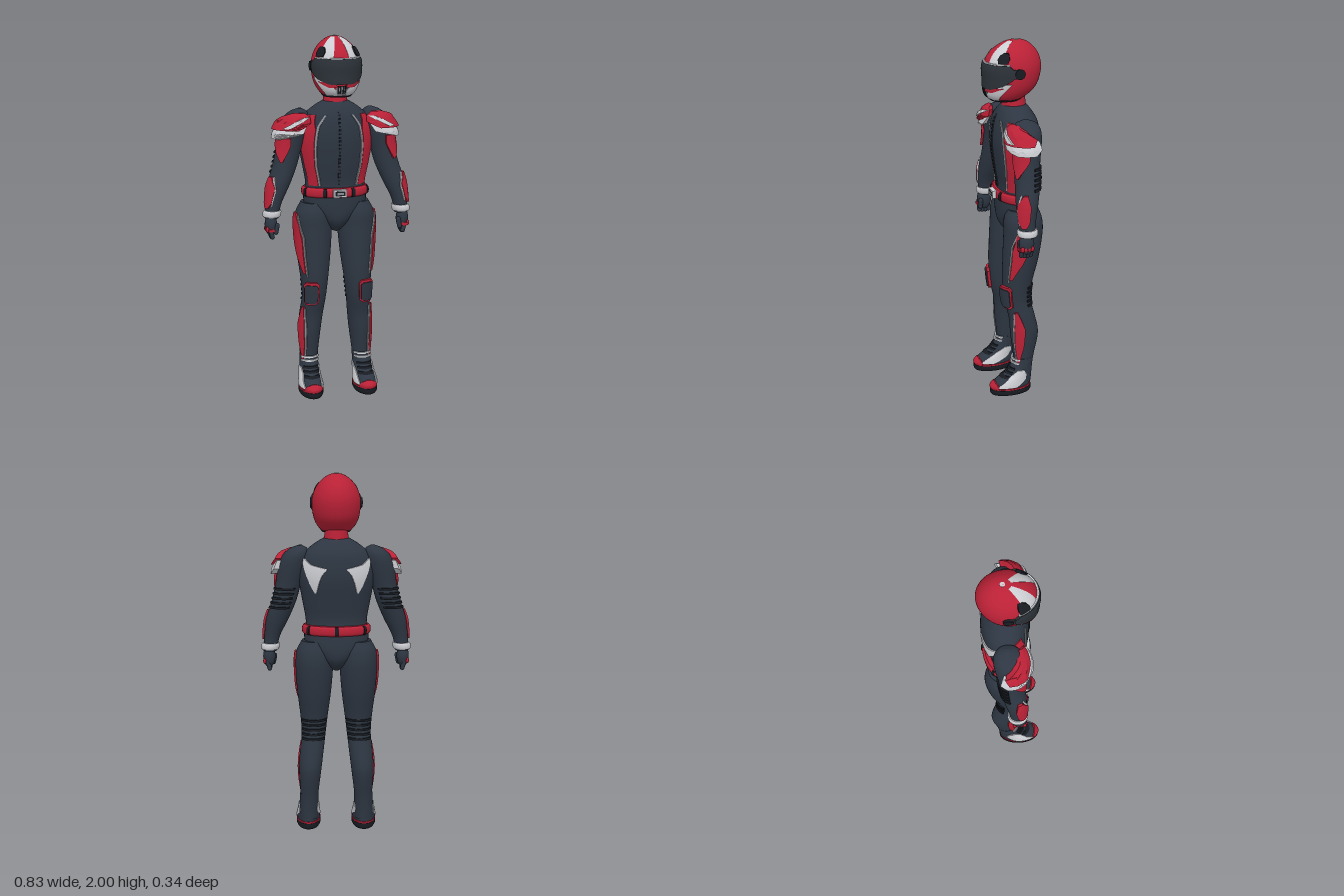
import * as THREE from 'three';
import { toCreasedNormals } from 'three/addons/utils/BufferGeometryUtils.js';

const mat = (name, color) => Object.assign(new THREE.MeshStandardMaterial({ color }), { name });
const SUIT = mat('suit charcoal', 0x2d3642), BLACK = mat('rubber black', 0x181c22), RED = mat('racing red', 0xba2136);
const WHITE = mat('pale grey', 0xcdced3), GREY = mat('seam grey', 0x8b8e93), VISOR = mat('visor', 0x2b3238);

// Cross-sections are [y, cx, cz, rx, rz], from bottom to top; smooth sampling between them
function section(rings, y) {
  const n = rings.length;
  let i = 0;
  while (i < n - 2 && y > rings[i + 1][0]) i++;
  const a = rings[i], b = rings[i + 1], h = b[0] - a[0], t = THREE.MathUtils.clamp((y - a[0]) / h, 0, 1);
  const slope = (j, k) => {
    const p = rings[Math.max(j - 1, 0)], q = rings[Math.min(j + 1, n - 1)];
    return (q[k] - p[k]) / (q[0] - p[0]);
  };
  return [1, 2, 3, 4].map(k => (2 * t ** 3 - 3 * t * t + 1) * a[k] + (t ** 3 - 2 * t * t + t) * h * slope(i, k)
    + (3 * t * t - 2 * t ** 3) * b[k] + (t ** 3 - t * t) * h * slope(i + 1, k));
}
// Angle 0 faces the front, 90 faces +x
function onSurface(rings, y, deg, off = 0) {
  const [cx, cz, rx, rz] = section(rings, y), a = deg * Math.PI / 180;
  return [cx + (rx + off) * Math.sin(a), y, cz + (rz + off) * Math.cos(a)];
}
function geometry(pos, idx) {
  const g = new THREE.BufferGeometry();
  g.setAttribute('position', new THREE.Float32BufferAttribute(pos, 3));
  g.setIndex(idx);
  return g;
}
function loft(rings, steps = 5, seg = 40) {
  const ys = [], pos = [], idx = [];
  rings.forEach((r, i) => {
    if (!i) return;
    for (let k = 0; k < steps; k++) ys.push(THREE.MathUtils.lerp(rings[i - 1][0], r[0], k / steps));
  });
  ys.push(rings.at(-1)[0]);
  for (const y of ys) for (let j = 0; j < seg; j++) pos.push(...onSurface(rings, y, j * 360 / seg));
  for (let i = 0; i < ys.length - 1; i++) for (let j = 0; j < seg; j++) {
    const a = i * seg + j, b = i * seg + (j + 1) % seg;
    idx.push(a, b, b + seg, a, b + seg, a + seg);
  }
  // end caps
  [0, ys.length - 1].forEach((row, top) => {
    const base = pos.length / 3, [cx, cz] = section(rings, ys[row]);
    for (let j = 0; j < seg; j++) pos.push(...onSurface(rings, ys[row], j * 360 / seg));
    pos.push(cx, ys[row], cz);
    for (let j = 0; j < seg; j++) {
      const a = base + j, b = base + (j + 1) % seg;
      top ? idx.push(a, b, base + seg) : idx.push(b, a, base + seg);
    }
  });
  const g = geometry(pos, idx);
  g.computeVertexNormals();
  return g;
}
// Raised plate that follows a body surface; rows are [y, angle from, angle to, height?]
function plate(rings, rows, off = 0.006, nu = 10, crease = 0.6) {
  const ys = [], pos = [], idx = [], sub = 3;
  for (let i = 0; i < rows.length - 1; i++) for (let k = 0; k < sub; k++) {
    const mix = c => THREE.MathUtils.lerp(rows[i][c] ?? off, rows[i + 1][c] ?? off, k / sub);
    ys.push([mix(0), mix(1), mix(2), mix(3)]);
  }
  const last = rows.at(-1);
  ys.push([last[0], last[1], last[2], last[3] ?? off]);
  const nv = ys.length, w = nu + 3;
  for (let i = -1; i <= nv; i++) for (let j = -1; j <= nu + 1; j++) {
    const [y, a0, a1, h] = ys[THREE.MathUtils.clamp(i, 0, nv - 1)];
    const rim = i < 0 || i === nv || j < 0 || j > nu;
    pos.push(...onSurface(rings, y, a0 + (a1 - a0) * THREE.MathUtils.clamp(j, 0, nu) / nu, rim ? -0.003 : h));
  }
  for (let i = 0; i <= nv; i++) for (let j = 0; j < w - 1; j++) {
    const a = i * w + j;
    idx.push(a, a + 1, a + w + 1, a, a + w + 1, a + w);
  }
  return toCreasedNormals(geometry(pos, idx), crease);
}

const TORSO = [[1.12, 0, -.025, .172, .1], [1.2, 0, -.02, .168, .09], [1.3, 0, -.02, .185, .106], [1.42, 0, -.025, .205, .125],
  [1.5, 0, -.026, .205, .125], [1.57, 0, -.026, .178, .113], [1.62, 0, -.022, .12, .088], [1.65, 0, -.02, .07, .065]];
const PELVIS = [[.925, 0, -.03, .02, .05], [.96, 0, -.032, .065, .085], [1.0, 0, -.033, .11, .105], [1.06, 0, -.032, .168, .11], [1.14, 0, -.027, .178, .106]];
const BELT = [[1.125, 0, -.027, .176, .11], [1.135, 0, -.027, .187, .121], [1.168, 0, -.027, .187, .121], [1.178, 0, -.027, .176, .11]];
const LEG = [[.06, .155, -.015, .05, .055], [.12, .155, -.02, .05, .055], [.2, .152, -.028, .05, .057], [.35, .147, -.035, .063, .08],
  [.45, .138, -.024, .066, .075], [.55, .127, -.002, .067, .075], [.65, .124, 0, .076, .083], [.8, .123, -.02, .094, .1],
  [.95, .122, -.035, .104, .108], [1.03, .12, -.035, .1, .105], [1.09, .115, -.035, .075, .085]];
const ARM = [[1.02, .367, .025, .038, .042], [1.1, .355, .025, .043, .048], [1.2, .325, .014, .062, .06], [1.3, .288, 0, .067, .067],
  [1.4, .262, -.006, .07, .07], [1.5, .238, -.012, .078, .08], [1.56, .22, -.016, .07, .078], [1.595, .205, -.019, .045, .055], [1.612, .197, -.02, .01, .012]];
const BOOT = [[.03, .157, .05, .062, .112], [.055, .157, .05, .064, .115], [.085, .157, .035, .059, .097], [.115, .156, .008, .055, .075], [.16, .154, -.015, .053, .062], [.21, .152, -.026, .052, .06]];
const SOLE = [[0, .157, .05, .06, .113], [.012, .157, .05, .067, .12], [.034, .157, .05, .067, .12]];
const HELMET = [[1.678, 0, .03, .07, .075], [1.71, 0, .016, .1, .116], [1.75, 0, 0, .12, .14], [1.8, 0, -.01, .13, .151], [1.86, 0, -.013, .131, .156],
  [1.91, 0, -.016, .117, .142], [1.95, 0, -.021, .092, .113], [1.98, 0, -.027, .058, .074], [1.994, 0, -.03, .03, .04], [2, 0, -.031, .002, .002]];

export function createModel() {
  const root = new THREE.Group();
  const add = (name, geo, material, parent = root) => {
    const m = new THREE.Mesh(geo, material);
    m.name = name;
    parent.add(m);
    return m;
  };
  const box = (w, h, d, x, y, z) => new THREE.BoxGeometry(w, h, d).translate(x, y, z);
  const group = name => { const g = new THREE.Group(); g.name = name; root.add(g); return g; };

  // Torso, collar, belt
  const body = group('body');
  add('torso', loft(TORSO), SUIT, body);
  add('pelvis', loft(PELVIS), SUIT, body);
  add('collar', new THREE.CylinderGeometry(.06, .07, .09, 32).translate(0, 1.665, -.02), RED, body);
  add('belt', loft(BELT, 3), RED, body);
  for (const a of [-125, -70, -25, 25, 70, 125, 180]) add('beltLoop', plate(BELT, [[1.127, a - 3, a + 3], [1.135, a - 3, a + 3], [1.168, a - 3, a + 3], [1.176, a - 3, a + 3]], .005, 3), BLACK, body);
  add('buckleFrame', box(.074, .042, .022, 0, 1.153, .1), WHITE, body);
  add('bucklePlate', box(.056, .026, .008, 0, 1.153, .109), BLACK, body);
  add('buckleBar', box(.036, .012, .008, 0, 1.153, .112), GREY, body);
  add('zipTape', plate(TORSO, [[1.19, -1.6, 1.6], [1.4, -1.4, 1.4], [1.6, -2, 2]], .003, 3), SUIT, body);
  for (let y = 1.2; y < 1.6; y += .02) {
    const p = onSurface(TORSO, y, 0, .003);
    add('zipTooth', box(.011, .009, .008, ...p), BLACK, body);
  }

  // Helmet
  const head = group('helmet');
  add('shell', loft(HELMET, 5, 56), RED, head);
  for (const s of [-1, 1]) {
    const arc = (rows, off, nu) => plate(HELMET, rows.map(([y, a, b]) => s > 0 ? [y, a, b] : [y, -b, -a]), off, nu, 1);
    add('crownStripe', arc([[1.87, 20, 57], [1.91, 19, 56], [1.95, 17, 55], [1.98, 17, 54], [1.994, 17, 54]], .002), WHITE, head);
    add('browVent', arc([[1.895, 46, 66], [1.915, 42, 68], [1.935, 44, 66], [1.945, 50, 62]], .011, 5), BLACK, head);
    add('cheekGuard', arc([[1.69, 15, 52], [1.72, 14, 58], [1.75, 30, 66], [1.785, 56, 76]], .007), WHITE, head);
    add('cheekStripe', arc([[1.735, 12, 34], [1.75, 12, 48], [1.763, 20, 60]], .011), RED, head);
    add('visorArm', arc([[1.815, 74, 90], [1.865, 74, 90]], .008), VISOR, head);
    add('visorPivot', new THREE.CylinderGeometry(.026, .028, .02, 16).rotateZ(Math.PI / 2).translate(s * .132, 1.84, -.012), BLACK, head);
  }
  add('crownButton', new THREE.CylinderGeometry(.013, .013, .004, 16).translate(0, 1.998, -.034), WHITE, head);
  add('visor', plate(HELMET, [[1.752, -30, 30], [1.775, -58, 58], [1.81, -77, 77], [1.86, -79, 79], [1.886, -68, 68]], .012, 28), VISOR, head);
  add('visorRim', plate(HELMET, [[1.884, -70, 70], [1.891, -70, 70]], .009, 28), WHITE, head);
  add('chinBar', plate(HELMET, [[1.69, -16, 16], [1.72, -16, 16], [1.74, -13, 13]], .007), GREY, head);
  for (const a of [-10, -4, 4, 10]) add('chinVent', plate(HELMET, [[1.702, a - 2, a + 2], [1.745, a - 2, a + 2]], .011, 2), BLACK, head);
  add('neckSeal', plate(HELMET, [[1.679, -180, 180], [1.69, -180, 180]], .004, 40), BLACK, head);

  for (const s of [-1, 1]) {
    const flip = rings => rings.map(([y, cx, ...r]) => [y, s * cx, ...r]);
    const cover = (rings, rows, off, nu, crease) =>
      plate(flip(rings), rows.map(([y, a, b, h]) => s > 0 ? [y, a, b, h] : [y, -b, -a, h]), off, nu, crease);
    const line = (rings, pts, w, off) => cover(rings, pts.map(([y, a]) => [y, a - w, a + w]), off, 2);
    const side = s > 0 ? 'left' : 'right';

    // Torso panels
    add('chestPanel', cover(TORSO, [[1.19, 40, 66], [1.3, 44, 72], [1.4, 42, 74], [1.5, 38, 68], [1.58, 46, 66]], .005), RED, body);
    add('chestPiping', line(TORSO, [[1.19, 37], [1.3, 41], [1.4, 39], [1.52, 34], [1.58, 25]], 2, .006), GREY, body);
    add('shoulderBlade', cover(TORSO, [[1.36, 144, 147], [1.42, 134, 153], [1.46, 128, 158], [1.495, 122, 166], [1.515, 118, 138], [1.545, 115, 119]], .006), WHITE, body);

    // Arm
    const arm = group(side + 'Arm');
    add('sleeve', loft(flip(ARM)), SUIT, arm);
    add('shoulderPlate', cover(ARM, [[1.455, 45, 100, .034], [1.485, -22, 118, .034], [1.53, -35, 112, .022]], 0, 5, .3), WHITE, arm);
    add('shoulderCap', cover(ARM, [[1.505, -5, 92, .042], [1.54, -42, 102, .034], [1.575, -38, 72, .03], [1.592, -20, 40, .02]], 0, 5, .3), RED, arm);
    add('shoulderFlash', cover(ARM, [[1.515, 20, 40, .046], [1.55, -10, 14, .04], [1.572, -32, -12, .036]], 0, 3, .3), WHITE, arm);
    add('upperArmGuard', cover(ARM, [[1.33, 24, 32], [1.38, 12, 62], [1.42, 5, 82], [1.46, 12, 84]], .014, 4, .3), RED, arm);
    add('forearmGuard', cover(ARM, [[1.08, 45, 70], [1.11, 25, 88], [1.19, 22, 90], [1.25, 55, 75]], .012, 4, .3), RED, arm);
    add('forearmPiping', line(ARM, [[1.09, 22], [1.17, 17], [1.25, 45]], 4, .008), WHITE, arm);
    for (let i = 0; i < 5; i++) add('elbowRib', cover(ARM, [[1.265 + i * .026, 105, 215], [1.277 + i * .026, 105, 215]], .008), BLACK, arm);
    add('cuff', loft(flip([[1.028, .367, .025, .046, .05], [1.036, .366, .025, .05, .055], [1.056, .363, .025, .05, .055], [1.064, .361, .025, .046, .05]]), 2), WHITE, arm);

    // Gloved hand
    add('palm', new THREE.SphereGeometry(1, 20, 14).scale(.034, .062, .042).translate(s * .372, .985, .033), SUIT, arm);
    for (let i = 0; i < 4; i++) {
      const z = .008 + i * .018;
      add('finger', new THREE.CapsuleGeometry(.0125, .04, 4, 10).rotateZ(s * -.25).translate(s * .374, .933 + Math.abs(i - 1.5) * .004, z), SUIT, arm);
      add('knuckle', new THREE.SphereGeometry(.0125, 8, 6).scale(.8, 1.3, .9).translate(s * .396, .962, z), RED, arm);
    }
    add('fingerGuard', box(.034, .016, .008, s * .375, .957, .073), RED, arm);
    add('thumb', new THREE.CapsuleGeometry(.0135, .04, 4, 10).rotateZ(s * .2).translate(s * .346, .965, .062), SUIT, arm);

    // Leg
    const leg = group(side + 'Leg');
    add('trouser', loft(flip(LEG)), SUIT, leg);
    add('thighPanel', cover(LEG, [[.7, 44, 54], [.8, 46, 80], [.88, 46, 94], [.97, 56, 100], [1.03, 76, 100]], .01, 6, .4), RED, leg);
    add('thighPiping', line(LEG, [[.68, 39], [.8, 41], [.9, 42], [1.02, 66]], 2.5, .008), GREY, leg);
    add('shinPanel', cover(LEG, [[.18, 44, 54], [.28, 36, 74], [.4, 40, 82], [.5, 54, 66]], .009, 6, .4), RED, leg);
    add('shinPiping', line(LEG, [[.19, 36], [.28, 29], [.4, 34], [.49, 48]], 4, .008), GREY, leg);
    add('kneeRim', cover(LEG, [[.52, 6, 40], [.535, -8, 54], [.635, -8, 54], [.652, 2, 44]], .016, 6, .4), RED, leg);
    add('kneePad', cover(LEG, [[.53, 8, 38], [.543, -2, 48], [.627, -2, 48], [.638, 6, 40]], .023, 6, .4), SUIT, leg);
    for (let i = 0; i < 5; i++) add('kneeRib', cover(LEG, [[.525 + i * .027, 120, 240], [.537 + i * .027, 120, 240]], .008), BLACK, leg);

    // Boot
    add('boot', loft(flip(BOOT)), SUIT, leg);
    add('sole', loft(flip(SOLE), 2), BLACK, leg);
    add('soleStripe', cover(BOOT, [[.034, -180, 180], [.044, -180, 180]], .004, 40), RED, leg);
    add('toeCap', cover(BOOT, [[.04, -48, 48], [.056, -46, 46], [.068, -34, 34], [.078, -10, 10]], .007, 6, .3), RED, leg);
    for (const a of [90, -90]) add('ankleFlash', cover(BOOT, [[.05, a - 48 * Math.sign(a), a + 8], [.085, a - 35, a + 35], [.115, a - 40, a + 28], [.145, a - 26, a + 5]].map(r => [r[0], Math.min(r[1], r[2]), Math.max(r[1], r[2])]), .006), WHITE, leg);
    for (const y of [.18, .2]) add('ankleStrap', cover(BOOT, [[y, -60, 60], [y + .009, -60, 60]], .008), WHITE, leg);
    for (const y of [.1, .122, .144]) add('instepRib', cover(BOOT, [[y, -45, 45], [y + .011, -45, 45]], .008), BLACK, leg);
  }
  return root;
}
